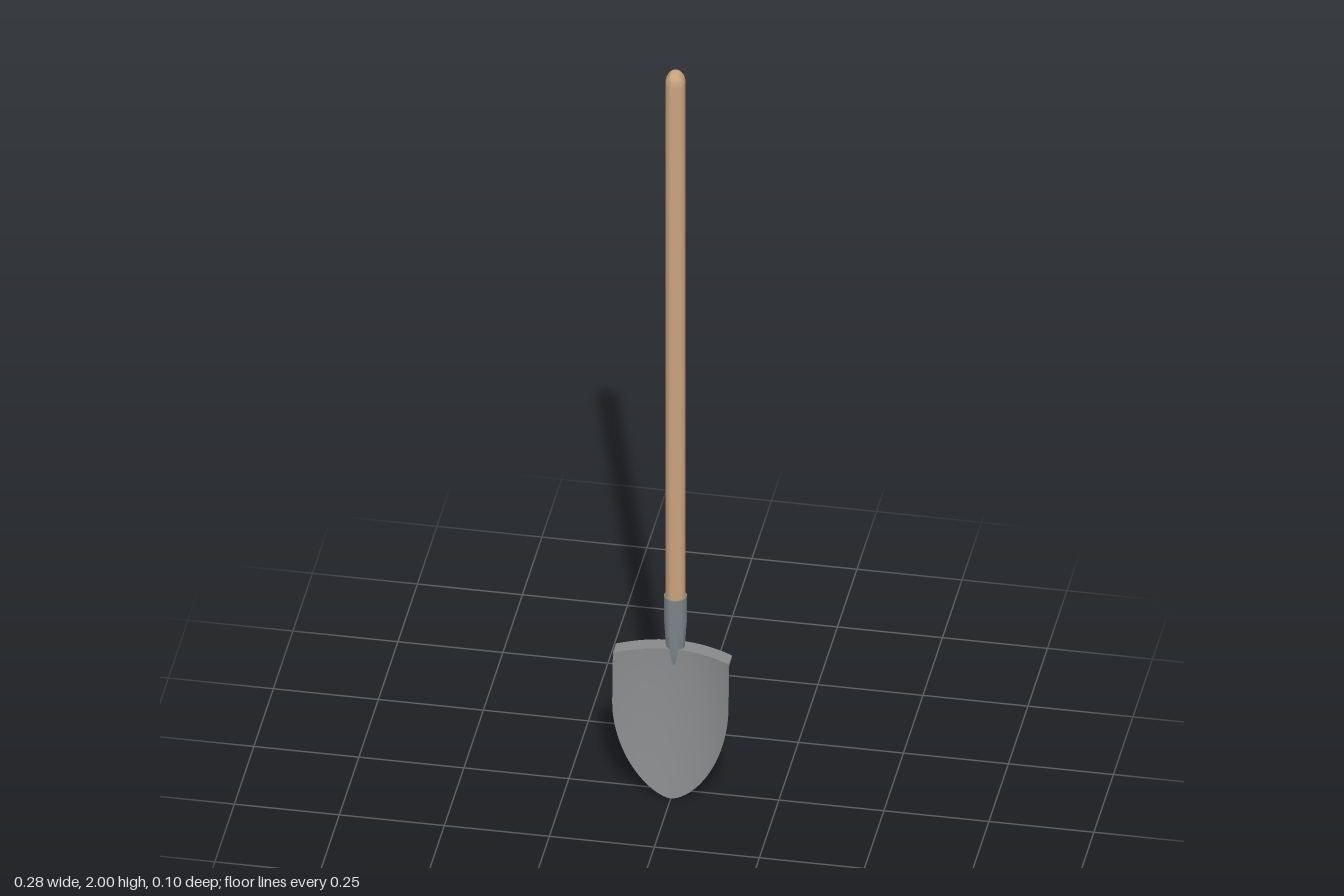
import * as THREE from 'three';
import { toCreasedNormals } from 'three/addons/utils/BufferGeometryUtils.js';

const HALF = 0.138;      // half width of the blade
const BLADE_TOP = 0.39;
const SHEET = 0.005;     // blade thickness

const bow = (x) => 0.04 * (x / HALF) ** 2;
// depth of the blade's front face along its middle
const middleZ = (y) => 0.04 * ((BLADE_TOP - y) / BLADE_TOP) ** 1.5;

// half width of the blade at height y: straight sides, then a rounded point
function halfWidth(y) {
  const t = Math.max(0, (0.26 - y) / 0.26);
  return HALF * Math.pow(Math.max(0, 1 - t ** 1.8), 0.6);
}

// skin through equal rings of points, stacked bottom to top, counter-clockwise from above
function loft(rings, capped, crease) {
  const n = rings[0].length, pos = rings.flat(2), index = [];
  for (let j = 0; j < rings.length - 1; j++) {
    for (let i = 0; i < n; i++) {
      const a = j * n + i, b = j * n + (i + 1) % n;
      index.push(a, b, a + n, b, b + n, a + n);
    }
  }
  if (capped) {
    const top = (rings.length - 1) * n;
    for (let i = 1; i < n - 1; i++) {
      index.push(0, i + 1, i, top, top + i, top + i + 1);
    }
  }
  const g = new THREE.BufferGeometry();
  g.setAttribute('position', new THREE.Float32BufferAttribute(pos, 3));
  g.setIndex(index);
  return toCreasedNormals(g, crease);
}

function circleRing(y, r, z, n = 20) {
  return Array.from({ length: n }, (_, i) => {
    const a = (i / n) * Math.PI * 2;
    return [r * Math.cos(a), y, z - r * Math.sin(a)];
  });
}

function bladeRing(y, n = 20) {
  const w = halfWidth(y), front = [], back = [];
  for (let i = 0; i <= n; i++) {
    const x = w * (2 * i / n - 1), z = middleZ(y) + bow(x);
    front.push([x, y, z]);
    back.unshift([x, y, z - SHEET]);
  }
  return [...front, ...back];
}

export function createModel() {
  const group = new THREE.Group();
  const wood = new THREE.MeshStandardMaterial({ color: 0xc8a47c });
  const steel = new THREE.MeshStandardMaterial({ color: 0x888a8c, side: THREE.DoubleSide });
  const socketSteel = new THREE.MeshStandardMaterial({ color: 0x7c858a });
  const add = (name, geometry, material) => {
    const mesh = new THREE.Mesh(geometry, material);
    mesh.name = name;
    group.add(mesh);
    return mesh;
  };

  // wooden shaft with a domed end
  const profile = [new THREE.Vector2(0, 0.45), new THREE.Vector2(0.024, 0.45)];
  for (let i = 0; i <= 8; i++) {
    const a = (i / 8) * Math.PI / 2;
    profile.push(new THREE.Vector2(0.024 * Math.cos(a), 1.965 + 0.035 * Math.sin(a)));
  }
  const shaft = toCreasedNormals(new THREE.LatheGeometry(profile, 24), 0.8);
  add('shaft', shaft, wood).position.z = -0.021;

  // tapering socket that holds the shaft and runs down behind the blade
  add('socket', loft([
    circleRing(0.28, 0.013, -0.017),
    circleRing(0.29, 0.017, -0.017),
    circleRing(0.4, 0.023, -0.02),
    circleRing(0.46, 0.027, -0.021),
    circleRing(0.53, 0.027, -0.021),
  ], true, 0.9), socketSteel);

  // dished blade, rows packed closer towards the point
  const rows = [];
  for (let j = 0; j <= 28; j++) rows.push(bladeRing(BLADE_TOP * (j / 28) ** 1.7));
  add('blade', loft(rows, false, 0.8), steel);

  // foot rest folded back along the top of the blade
  const outline = new THREE.Shape();
  const steps = 20;
  for (let i = 0; i <= steps; i++) {
    const x = HALF * (2 * i / steps - 1);
    if (i === 0) outline.moveTo(x, -bow(x));
    else outline.lineTo(x, -bow(x));
  }
  for (let i = steps; i >= 0; i--) {
    const x = HALF * (2 * i / steps - 1);
    outline.lineTo(x, 0.04 - bow(x));
  }
  const rest = new THREE.ExtrudeGeometry(outline, { depth: 0.008, bevelEnabled: false });
  rest.rotateX(-Math.PI / 2).translate(0, BLADE_TOP - 0.006, 0);
  add('footRest', toCreasedNormals(rest, 0.6), steel);

  // stiffening rib down the back of the blade, ending in a small bulb
  const ribPoints = [0.33, 0.28, 0.23, 0.17].map(
    (y) => new THREE.Vector3(0, y, middleZ(y) - SHEET - 0.001));
  add('rib', new THREE.TubeGeometry(new THREE.CatmullRomCurve3(ribPoints), 16, 0.005, 10), steel);
  add('ribEnd', new THREE.SphereGeometry(0.0065, 12, 8), steel).position.copy(ribPoints[3]);

  return group;
}
